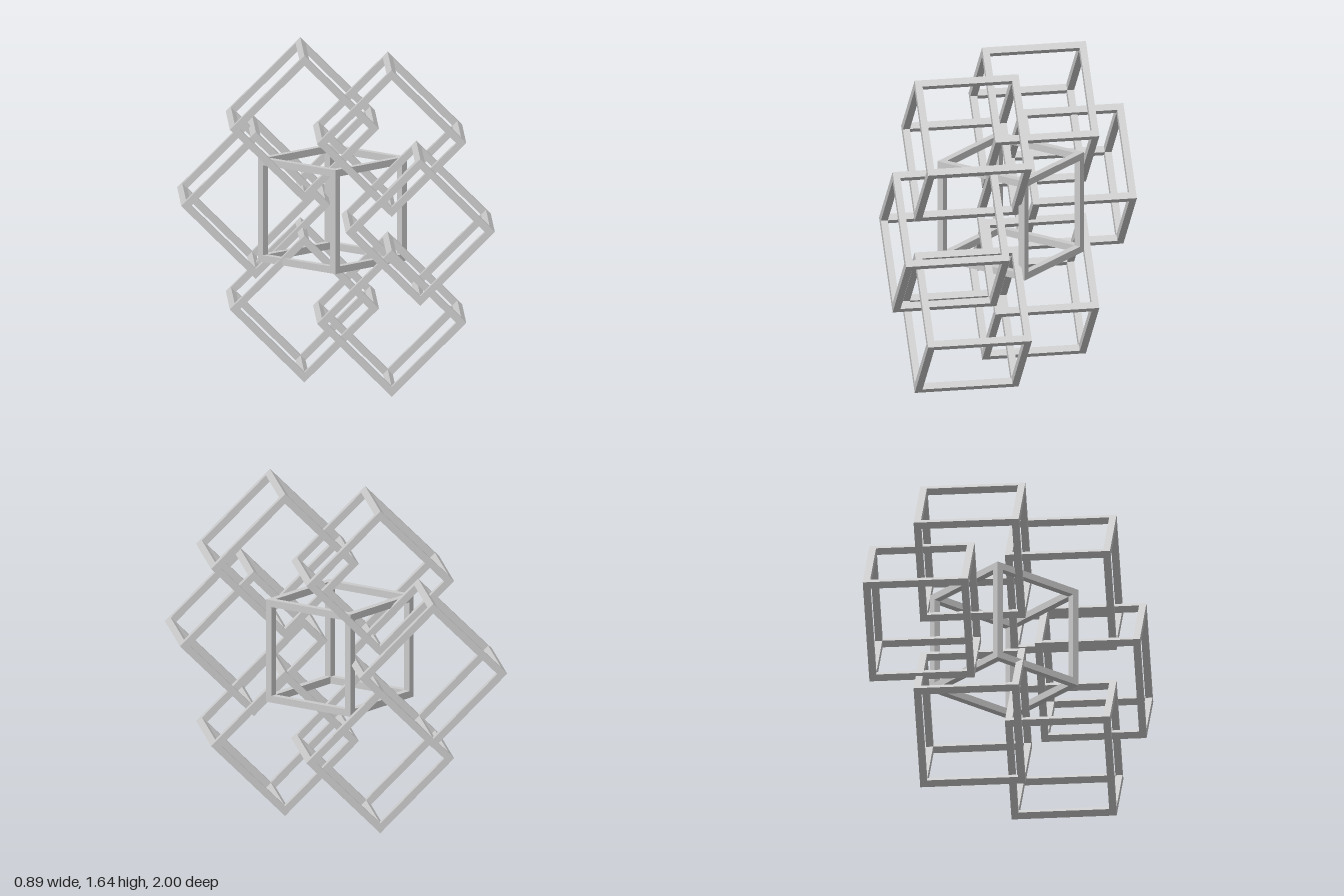
import * as THREE from 'three';

const SIZE = 0.523; // outer edge of a cube frame
const BAR = 0.035; // bar thickness

// Open cube made of twelve square bars that meet without overlapping
function cubeFrame(name, material) {
  const frame = new THREE.Group();
  frame.name = name;
  const offset = (SIZE - BAR) / 2;
  const inner = SIZE - 2 * BAR;
  const longBar = new THREE.BoxGeometry(SIZE, BAR, BAR);
  const uprightBar = new THREE.BoxGeometry(BAR, inner, BAR);
  const depthBar = new THREE.BoxGeometry(BAR, BAR, inner);
  const add = (geometry, barName, x, y, z) => {
    const bar = new THREE.Mesh(geometry, material);
    bar.name = barName;
    bar.position.set(x, y, z);
    frame.add(bar);
  };
  for (const s of [-offset, offset]) {
    for (const t of [-offset, offset]) {
      add(longBar, 'longBar', 0, s, t);
      add(uprightBar, 'uprightBar', s, 0, t);
      add(depthBar, 'depthBar', s, t, 0);
    }
  }
  return frame;
}

export function createModel() {
  const model = new THREE.Group();
  model.name = 'cubeFrameCluster';
  const material = new THREE.MeshStandardMaterial({ color: 0xcccccc });

  // Upright cube in the middle
  const centre = cubeFrame('centreCube', material);
  centre.position.set(0, 0.852, -0.024);
  model.add(centre);

  // Ring of six tilted cubes, given as [name, y, z]
  const ring = [
    ['upperFrontCube', 1.275, 0.362],
    ['upperBackCube', 1.275, -0.227],
    ['middleFrontCube', 0.851, 0.555],
    ['middleBackCube', 0.851, -0.555],
    ['lowerFrontCube', 0.37, 0.362],
    ['lowerBackCube', 0.37, -0.227],
  ];
  for (const [name, y, z] of ring) {
    const cube = cubeFrame(name, material);
    cube.rotation.set(Math.PI / 4, Math.PI / 4, 0, 'YXZ');
    cube.position.set(0, y, z);
    model.add(cube);
  }
  return model;
}
